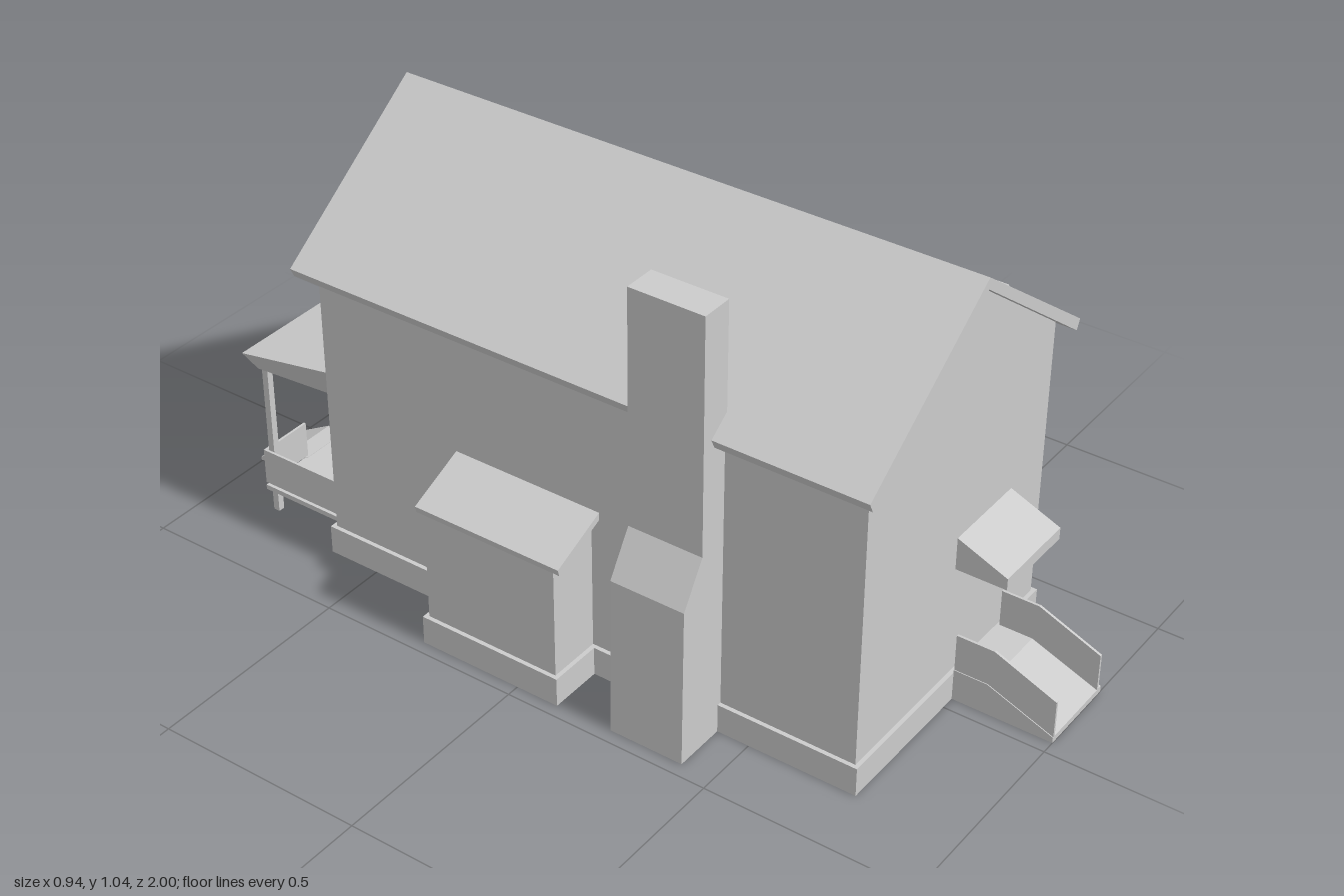
import * as THREE from 'three';

const material = new THREE.MeshStandardMaterial({ color: 0xcccccc, flatShading: true, side: THREE.DoubleSide });

export function createModel() {
  const house = new THREE.Group();
  house.name = 'house';

  const add = (name, geometry) => {
    const mesh = new THREE.Mesh(geometry, material);
    mesh.name = name;
    house.add(mesh);
    return mesh;
  };

  // Box given by its limits on each axis
  const box = (name, x0, x1, y0, y1, z0, z1) =>
    add(name, new THREE.BoxGeometry(x1 - x0, y1 - y0, z1 - z0)
      .translate((x0 + x1) / 2, (y0 + y1) / 2, (z0 + z1) / 2));

  const toVectors = (points) => points.map(([a, b]) => new THREE.Vector2(a, b));
  const extrude = (points, depth) => new THREE.ExtrudeGeometry(
    new THREE.Shape(toVectors(points)), { depth, bevelEnabled: false });

  // Profile in (x, y), run along z
  const alongZ = (name, points, z0, z1) =>
    add(name, extrude(points, z1 - z0).translate(0, 0, z0));
  // Profile in (z, y), run along x
  const alongX = (name, points, x0, x1) =>
    add(name, extrude(points, x1 - x0).rotateY(-Math.PI / 2).translate(x1, 0, 0));
  // Plan in (x, z), run upwards
  const upwards = (name, points, y0, y1) =>
    add(name, extrude(points, y1 - y0).rotateX(Math.PI / 2).translate(0, y1, 0));

  // Hollow out a part from below by dropping the faces that lie at height y
  const openAt = (mesh, y) => {
    const source = mesh.geometry.index ? mesh.geometry.toNonIndexed() : mesh.geometry;
    const p = source.attributes.position;
    const kept = [];
    for (let i = 0; i < p.count; i += 3) {
      const corners = [i, i + 1, i + 2];
      if (corners.every((c) => Math.abs(p.getY(c) - y) < 1e-4)) continue;
      corners.forEach((c) => kept.push(p.getX(c), p.getY(c), p.getZ(c)));
    }
    mesh.geometry = new THREE.BufferGeometry();
    mesh.geometry.setAttribute('position', new THREE.Float32BufferAttribute(kept, 3));
    mesh.geometry.computeVertexNormals();
    return mesh;
  };

  // Foundation skirt with a narrow ledge around the walls above it
  const rectangle = (x0, x1, z0, z1) => toVectors([[x0, -z0], [x1, -z0], [x1, -z1], [x0, -z1]]);
  const foundation = (name, outer, inner) => {
    const [x0, x1, z0, z1] = outer;
    openAt(openAt(box(name, x0, x1, 0, 0.07, z0, z1), 0), 0.07);
    const ledge = new THREE.Shape(rectangle(...outer));
    ledge.holes.push(new THREE.Path(rectangle(...inner)));
    add(name + 'Ledge', new THREE.ShapeGeometry(ledge).rotateX(-Math.PI / 2).translate(0, 0.07, 0));
  };
  foundation('foundation', [-0.34, 0.385, -0.63, 0.76], [-0.33, 0.375, -0.62, 0.75]);
  foundation('shedFoundation', [-0.47, -0.33, -0.255, 0.105], [-0.46, -0.331, -0.245, 0.095]);

  // Gabled body and roof
  openAt(alongZ('walls', [
    [-0.33, 0.07], [0.375, 0.07], [0.375, 0.764], [0.0225, 1.03], [-0.33, 0.764],
  ], -0.62, 0.75), 0.07);
  alongZ('roof', [
    [0.0235, 1.045], [-0.377, 0.75], [-0.366, 0.727], [0.0235, 1.018], [0.413, 0.727], [0.424, 0.75],
  ], -0.655, 0.78);

  // Bay windows: two on the side, one at the back
  for (const z of [0.532, -0.398]) {
    openAt(upwards('sideBay', [
      [0.375, z - 0.16], [0.469, z - 0.055], [0.469, z + 0.055], [0.375, z + 0.16],
    ], 0.07, 0.74), 0.07);
  }
  openAt(upwards('backBay', [[-0.025, -0.62], [0.08, -0.71], [0.19, -0.71], [0.295, -0.62]], 0.07, 0.74), 0.07);

  // Stepped chimney
  openAt(alongZ('chimney', [
    [-0.325, 0], [-0.467, 0], [-0.463, 0.385], [-0.402, 0.485], [-0.402, 1.042], [-0.325, 1.042],
  ], 0.242, 0.422), 0);

  // Lean-to shed on the chimney side
  openAt(alongZ('shedWalls', [[-0.33, 0.07], [-0.46, 0.07], [-0.46, 0.355], [-0.33, 0.41]], -0.245, 0.095), 0.07);
  alongZ('shedRoof', [[-0.33, 0.42], [-0.47, 0.358], [-0.466, 0.342], [-0.33, 0.402]], -0.26, 0.115);

  // Front awning and entrance ramp with side panels
  alongX('frontAwning', [[0.75, 0.418], [0.87, 0.368], [0.87, 0.34], [0.75, 0.34]], 0.027, 0.242);
  alongX('frontRamp', [[0.76, 0], [1, 0], [1, 0.014], [0.84, 0.077], [0.76, 0.077]], 0.034, 0.239);
  for (const x of [0.036, 0.222]) {
    alongX('frontRampPanel', [
      [0.76, 0.077], [0.84, 0.077], [1, 0.014], [1, 0.105], [0.85, 0.167], [0.76, 0.167],
    ], x, x + 0.006);
  }

  // Back porch: deck, posts, railing panels
  box('porchDeck', -0.305, 0.345, 0.058, 0.07, -0.855, -0.62);
  for (const x of [-0.287, 0.33]) {
    box('porchPost', x - 0.008, x + 0.008, 0, 0.39, -0.847, -0.831);
  }
  for (const x of [-0.305, 0.339]) {
    box('sideRailing', x, x + 0.006, 0.078, 0.167, -0.852, -0.62);
  }
  for (const [x0, x1] of [[-0.305, -0.17], [-0.04, 0.345]]) {
    box('backRailing', x0, x1, 0.078, 0.167, -0.854, -0.848);
  }
  alongX('backRamp', [
    [-0.85, 0.071], [-0.9, 0.068], [-1, 0.012], [-1, 0.002], [-0.87, 0.058], [-0.85, 0.058],
  ], -0.17, -0.04);

  // Porch roof: sloping top, with fascia on three sides drawn in towards the bottom
  const porchRoof = new THREE.BoxGeometry(1, 1, 1);
  const p = porchRoof.attributes.position;
  for (let i = 0; i < p.count; i++) {
    const top = p.getY(i) > 0;
    const outer = p.getZ(i) < 0;
    const inset = top ? 0 : outer ? 0.024 : 0.044;
    p.setXYZ(i,
      0.021 + Math.sign(p.getX(i)) * (0.346 - inset),
      top ? (outer ? 0.43 : 0.475) : 0.385,
      outer ? (top ? -0.874 : -0.852) : -0.62);
  }
  porchRoof.computeVertexNormals();
  add('porchRoof', porchRoof);

  return house;
}
